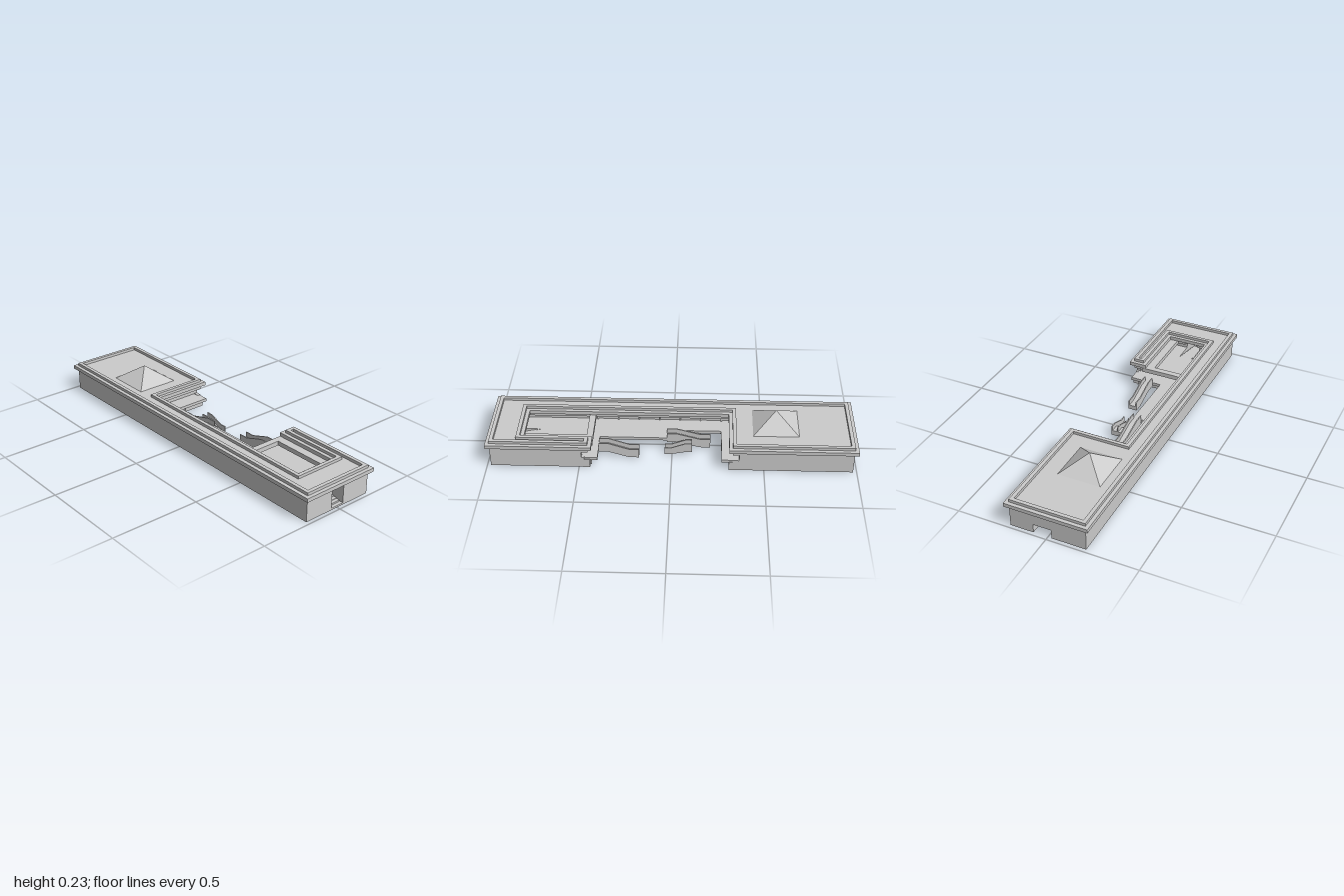
import * as THREE from 'three';

const mat = new THREE.MeshStandardMaterial({ color: 0xcccccc, flatShading: true, side: THREE.DoubleSide });

// Offsets a right-angled plan outline [x, z] outwards by d
function offset(pts, d) {
  const n = pts.length;
  const normal = (a, b) => {
    const dx = b[0] - a[0], dy = b[1] - a[1], l = Math.hypot(dx, dy);
    return [dy / l, -dx / l];
  };
  return pts.map((p, i) => {
    const a = normal(pts[(i + n - 1) % n], p), b = normal(p, pts[(i + 1) % n]);
    return [p[0] + d * (a[0] + b[0]), p[1] + d * (a[1] + b[1])];
  });
}

const toVectors = (pts) => pts.map(([x, y]) => new THREE.Vector2(x, y));

export function createModel() {
  const group = new THREE.Group();

  const add = (name, geometry, x = 0, y = 0, z = 0) => {
    const mesh = new THREE.Mesh(geometry, mat);
    mesh.name = name;
    mesh.position.set(x, y, z);
    group.add(mesh);
    return mesh;
  };
  const box = (name, x0, x1, y0, y1, z0, z1) =>
    add(name, new THREE.BoxGeometry(x1 - x0, y1 - y0, z1 - z0), (x0 + x1) / 2, (y0 + y1) / 2, (z0 + z1) / 2);

  // Plan outline raised from y0 to y1, with an optional hole
  const plate = (name, pts, y0, y1, hole) => {
    const shape = new THREE.Shape(toVectors(pts));
    if (hole) shape.holes.push(new THREE.Path(toVectors(hole)));
    const g = new THREE.ExtrudeGeometry(shape, { depth: y1 - y0, bevelEnabled: false });
    g.rotateX(Math.PI / 2);
    return add(name, g, 0, y1, 0);
  };

  // Ground floor: open undercroft and passage at the back, stair slot at the front
  const ground = (slot) => [
    [-0.21, -0.98], [-0.02, -0.98], [-0.02, -0.87], [-0.17, -0.87], [-0.17, -0.31], [-0.11, -0.31],
    [-0.11, 0.44], [0.21, 0.44], [0.21, 0.98], ...slot, [-0.21, 0.98],
  ];
  const stairSlot = [[0.04, 0.98], [0.04, 0.74], [-0.04, 0.74], [-0.04, 0.98]];
  plate('groundPlate', ground([]), 0, 0.01);
  plate('groundWalls', ground(stairSlot), 0.01, 0.05);
  box('groundBackBlock', 0.08, 0.21, 0, 0.05, -0.98, -0.31);

  // Balcony slab of the upper floor
  plate('balconySlab', [
    [-0.205, -0.975], [0.205, -0.975], [0.205, -0.27], [-0.05, -0.27], [-0.05, 0.03], [0.02, 0.03],
    [0.02, 0.4], [0.205, 0.4], [0.205, 0.975], [0.04, 0.975], [0.04, 0.74], [-0.04, 0.74], [-0.04, 0.975], [-0.205, 0.975],
  ], 0.045, 0.062);

  // Upper floor walls (r = recess under the roof edge), split by the front door
  const upperWalls = (name, r, y0, y1) => {
    plate(name, [
      [-0.21, -0.98], [0.21, -0.98], [0.21, -0.33 - r], [-0.115 - r, -0.33 - r],
      [-0.115 - r, 0.82 + r], [-0.04, 0.82 + r], [-0.04, 0.98], [-0.21, 0.98],
    ], y0, y1);
    plate(name, [
      [0.04, 0.82 + r], [0.15 + r, 0.82 + r], [0.15 + r, 0.45 + r], [0.21, 0.45 + r], [0.21, 0.98], [0.04, 0.98],
    ], y0, y1);
  };
  upperWalls('upperWall', 0.035, 0.05, 0.1);
  upperWalls('roofBand', 0, 0.1, 0.126);
  for (const s of [-1, 1]) {
    const x = s * 0.125;
    box('outerWallJoint', x - 0.085, x + 0.085, 0.045, 0.063, 0.955, 0.98);
  }
  box('sideWallJoint', 0.19, 0.21, 0.045, 0.064, 0.47, 0.98);
  box('sideWallJoint', 0.19, 0.21, 0.045, 0.064, -0.98, -0.33);
  box('sideWallJoint', -0.21, -0.19, 0.045, 0.064, -0.98, 0.98);
  box('backWallJoint', -0.21, 0.21, 0.05, 0.064, -0.98, -0.96);

  // Roof: wide cornice and a raised rim that both follow the courtyard
  const outline = [
    [-0.21, -0.98], [0.21, -0.98], [0.21, -0.33], [-0.115, -0.33], [-0.115, 0.82],
    [0.15, 0.82], [0.15, 0.45], [0.21, 0.45], [0.21, 0.98], [-0.21, 0.98],
  ];
  plate('cornice', offset(outline, 0.02), 0.126, 0.147);
  plate('roofRim', outline, 0.147, 0.163, offset(outline, -0.02));

  // Beams across the courtyard opening
  box('courtyardBeam', -0.115, 0.15, 0.1, 0.125, 0.43, 0.465);
  box('courtyardSideBeam', 0.085, 0.15, 0.1, 0.125, 0.465, 0.82);

  // Pyramid skylight
  const pyramid = new THREE.ConeGeometry(Math.SQRT1_2, 1, 4, 1);
  pyramid.rotateY(Math.PI / 4);
  pyramid.scale(0.24, 0.088, 0.25);
  add('skylight', pyramid, -0.02, 0.191, -0.565);

  // Window posts along the courtyard walls on both floors
  for (let z = -0.27; z < 0.44; z += 0.116) {
    box('lowerPost', -0.112, -0.104, 0, 0.046, z - 0.004, z + 0.004);
    box('upperPost', -0.152, -0.143, 0.06, 0.101, z - 0.004, z + 0.004);
  }
  for (let z = -0.8; z < -0.33; z += 0.116) box('undercroftPost', -0.172, -0.164, 0, 0.046, z - 0.004, z + 0.004);
  for (let x = -0.06; x < 0.2; x += 0.08) box('frontPost', x - 0.004, x + 0.004, 0, 0.046, 0.433, 0.441);

  // Entrance stairs rising from the front door
  const steps = 12;
  for (let i = 0; i < steps; i++) {
    const z = 0.96 - i * 0.0185;
    box('entranceStep', -0.036, 0.036, 0.009, 0.015 + (i + 1) * 0.0039, z - 0.0185, z);
  }

  // Escalator with flat landings and solid balustrades, from the high end to the low end
  const escalator = (x0, x1, zHigh, yHigh, zLow, yLow, rail = 0.028) => {
    const d = Math.sign(zLow - zHigh) * Math.abs(zLow - zHigh) * 0.24;
    const path = [[zHigh, yHigh], [zHigh + d, yHigh], [zLow - d, yLow], [zLow, yLow]];
    const strip = (name, a, b, up, down) => {
      const pts = [
        ...path.map(([z, y]) => [z, y + up]),
        ...path.slice().reverse().map(([z, y]) => [z, Math.max(0.001, y - down)]),
      ];
      const g = new THREE.ExtrudeGeometry(new THREE.Shape(toVectors(pts)), { depth: b - a, bevelEnabled: false });
      g.rotateY(-Math.PI / 2);
      add(name, g, b, 0, 0);
    };
    strip('escalatorRamp', x0, x1, 0, 0.028);
    strip('escalatorSide', x0, x0 + 0.006, rail, 0.01);
    strip('escalatorSide', x1 - 0.006, x1, rail, 0.01);
  };
  escalator(-0.03, 0.02, 0.03, 0.062, -0.21, 0.028);
  escalator(0.045, 0.085, -0.11, 0.045, 0.04, 0.015);
  escalator(0.07, 0.12, 0.4, 0.064, 0.18, 0.026);
  box('escalatorLanding', 0.015, 0.085, 0.025, 0.046, -0.11, -0.06);

  // Crossing ramps in the undercroft
  escalator(-0.08, -0.035, -0.45, 0.045, -0.62, 0.012, 0);
  escalator(-0.01, 0.035, -0.62, 0.045, -0.45, 0.012, 0);

  return group;
}
